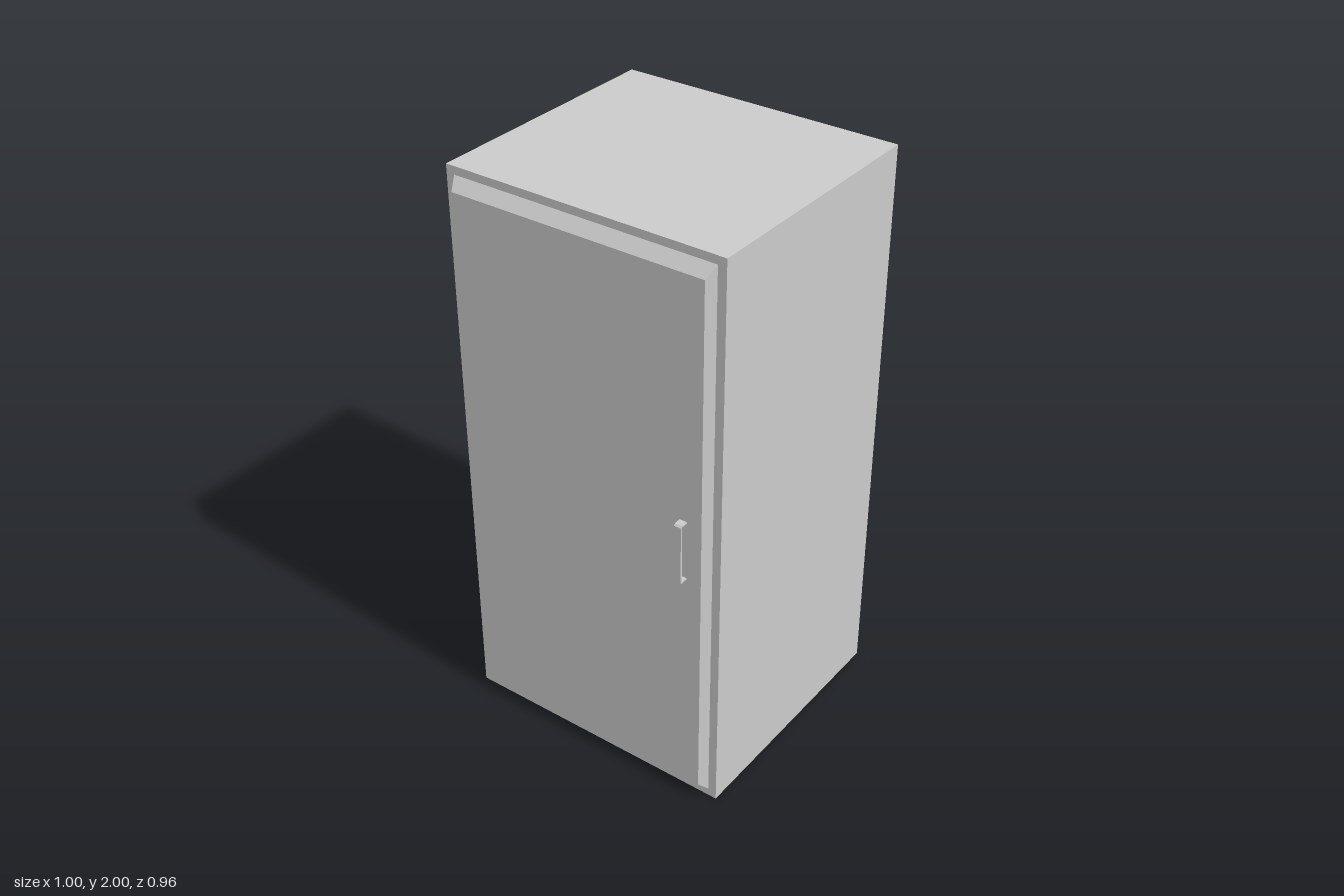
import * as THREE from 'three';

export function createModel() {
  const group = new THREE.Group();
  const material = new THREE.MeshStandardMaterial({ color: 0xcccccc, flatShading: true });
  const add = (name, geometry, x, y, z) => {
    const mesh = new THREE.Mesh(geometry, material);
    mesh.name = name;
    mesh.position.set(x, y, z);
    group.add(mesh);
  };

  const backZ = -0.483, bodyZ = 0.415, doorZ = 0.45, frontZ = 0.48;

  // Cabinet body
  add('cabinetBody', new THREE.BoxGeometry(1, 2, bodyZ - backZ), 0, 1, (backZ + bodyZ) / 2);

  // Door: a slab whose front face is drawn in to form sloped edges
  const door = new THREE.BoxGeometry(0.94, 1.945, doorZ - bodyZ);
  const p = door.attributes.position;
  for (let i = 0; i < p.count; i++) {
    if (p.getZ(i) > 0) {
      p.setX(i, Math.sign(p.getX(i)) * 0.453);
      p.setY(i, Math.sign(p.getY(i)) * 0.935);
    }
  }
  door.computeVertexNormals();
  add('door', door, 0, 1, (bodyZ + doorZ) / 2);

  // Handle: C-shaped side profile (z, y) with chamfered outer corners
  const d = frontZ - doorZ, h = 0.108, t = 0.006;
  const profile = new THREE.Shape([
    [0, -h], [d - t, -h], [d, -h + t], [d, h - t], [d - t, h], [0, h],
    [0, h - t], [d - t, h - t], [d - t, -h + t], [0, -h + t],
  ].map(([z, y]) => new THREE.Vector2(z, y)));
  const handle = new THREE.ExtrudeGeometry(profile, { depth: 0.026, bevelEnabled: false });
  handle.rotateY(-Math.PI / 2);
  add('doorHandle', handle, 0.4, 1.002, doorZ);

  return group;
}
